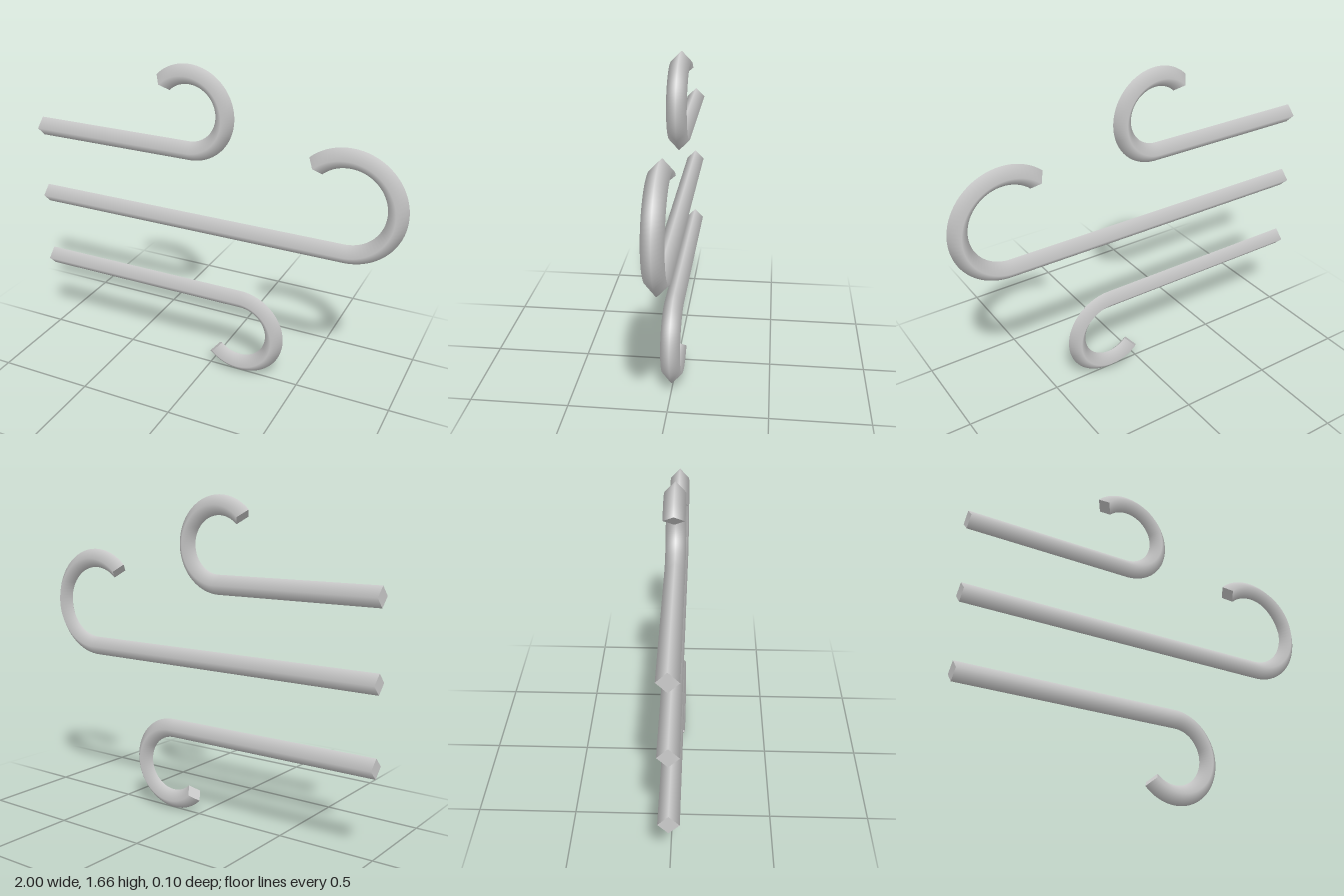
import * as THREE from 'three';

const TUBE = 0.05;
const START = -1;

// Straight run along +x that curls round into a hook (dir 1 curls up, -1 curls down)
class HookCurve extends THREE.Curve {
  constructor(bendX, y, radius, sweep, dir) {
    super();
    Object.assign(this, { bendX, y, radius, sweep, dir });
  }
  getPoint(t, target = new THREE.Vector3()) {
    const straight = this.bendX - START;
    const d = t * (straight + this.radius * this.sweep);
    if (d <= straight) return target.set(START + d, this.y, 0);
    const a = (d - straight) / this.radius;
    return target.set(
      this.bendX + this.radius * Math.sin(a),
      this.y + this.dir * this.radius * (1 - Math.cos(a)), 0);
  }
}

export function createModel() {
  const grey = new THREE.MeshStandardMaterial({ color: 0xcccccc });
  grey.name = 'light grey';
  const model = new THREE.Group();
  model.name = 'windSwirls';

  // Flat diamond cap facing along the given angle in the xy plane
  const cap = (name, position, angle) => {
    const mesh = new THREE.Mesh(new THREE.CircleGeometry(TUBE, 4), grey);
    mesh.name = name;
    mesh.position.copy(position);
    mesh.rotation.set(0, Math.PI / 2, angle, 'ZYX');
    return mesh;
  };

  // One strand: diamond-section tube closed at both ends
  const strand = (name, bendX, y, radius, degrees, dir) => {
    const sweep = THREE.MathUtils.degToRad(degrees);
    const curve = new HookCurve(bendX, y, radius, sweep, dir);
    const group = new THREE.Group();
    group.name = name;
    const tube = new THREE.Mesh(new THREE.TubeGeometry(curve, 128, TUBE, 4, false), grey);
    tube.name = 'tube';
    group.add(tube,
      cap('tailCap', curve.getPoint(0), Math.PI),
      cap('hookCap', curve.getPoint(1), dir * sweep));
    model.add(group);
  };

  strand('upperStrand', -0.122, 1.22, 0.195, 225, 1);
  strand('middleStrand', 0.706, 0.83, 0.244, 222.5, 1);
  strand('lowerStrand', 0.17, 0.44, 0.195, 225, -1);

  return model;
}
